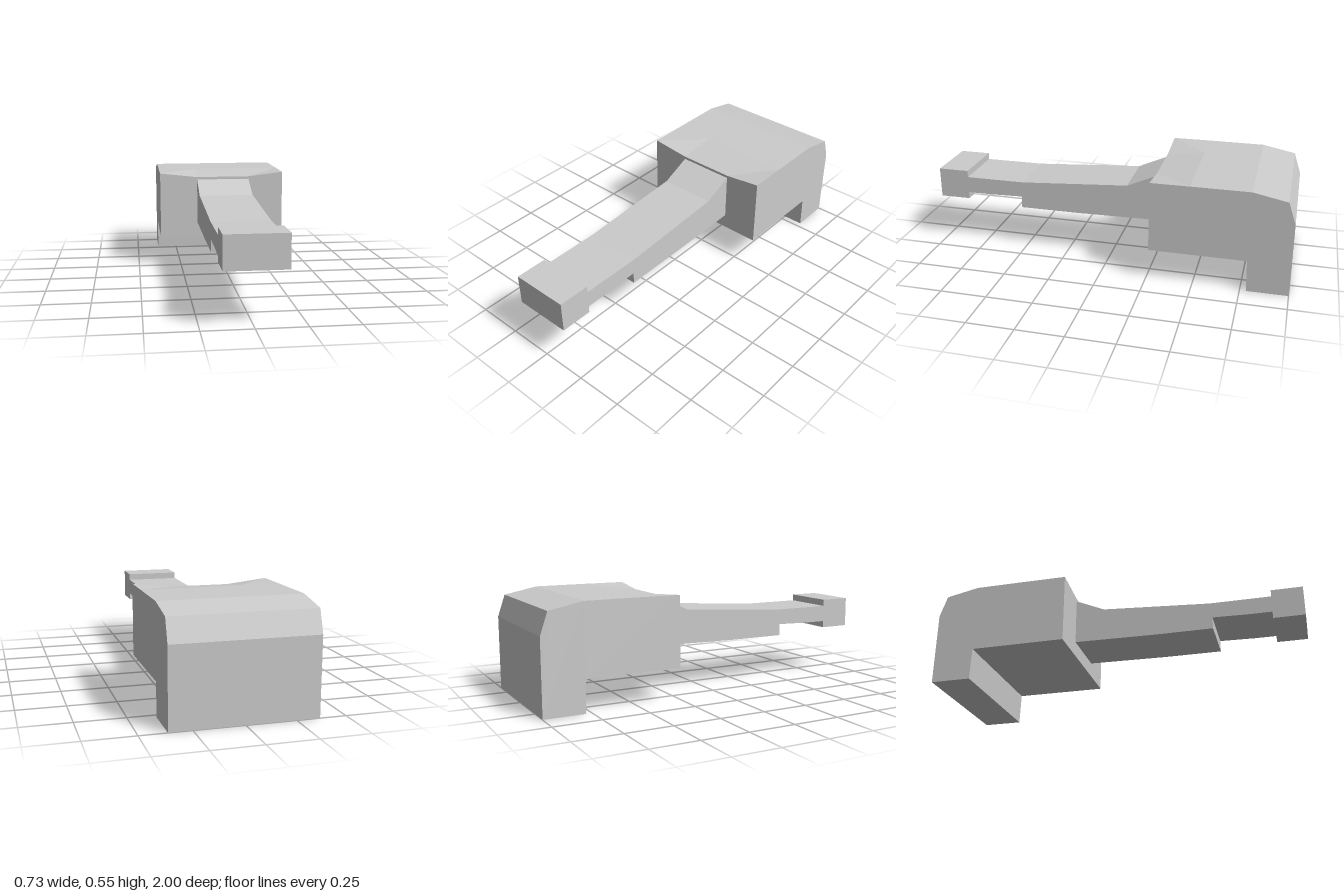
import * as THREE from 'three';

const material = new THREE.MeshStandardMaterial({ color: 0xcccccc, flatShading: true });

// Joins equal-length side profiles, given counter-clockwise as [z, y], at rising x stations.
function loft(name, stations) {
  const positions = [];
  const put = (x, [z, y]) => positions.push(x, y, z);

  // Walls between neighbouring stations
  for (let s = 0; s < stations.length - 1; s++) {
    const a = stations[s], b = stations[s + 1], n = a.profile.length;
    for (let i = 0; i < n; i++) {
      const j = (i + 1) % n;
      put(a.x, a.profile[i]); put(b.x, b.profile[j]); put(a.x, a.profile[j]);
      put(a.x, a.profile[i]); put(b.x, b.profile[i]); put(b.x, b.profile[j]);
    }
  }

  // Flat sides
  const cap = ({ x, profile }, flip) => {
    const contour = profile.map(([z, y]) => new THREE.Vector2(z, y));
    for (const face of THREE.ShapeUtils.triangulateShape(contour, [])) {
      if (flip) face.reverse();
      face.forEach((i) => put(x, profile[i]));
    }
  };
  cap(stations[0], false);
  cap(stations[stations.length - 1], true);

  const geometry = new THREE.BufferGeometry();
  geometry.setAttribute('position', new THREE.Float32BufferAttribute(positions, 3));
  geometry.computeVertexNormals();
  const mesh = new THREE.Mesh(geometry, material);
  mesh.name = name;
  return mesh;
}

// Rear block with a down-turned back and a front edge of variable height
const blockProfile = (frontTop) => [
  [-1, 0], [-0.783, 0], [-0.778, 0.173], [-0.263, 0.173], [-0.263, frontTop],
  [-0.47, 0.553], [-0.78, 0.553], [-0.96, 0.517], [-1, 0.4],
];

// Tapering arm with a stepped underside and a raised tip
const armProfile = [
  [-0.263, 0.255], [0.18, 0.248], [0.51, 0.248], [0.51, 0.313], [0.71, 0.308],
  [0.83, 0.308], [0.83, 0.27], [1, 0.27], [1, 0.437], [0.83, 0.437],
  [0.83, 0.4], [0.5, 0.4], [-0.1, 0.44], [-0.263, 0.513],
];

export function createModel() {
  const model = new THREE.Group();
  model.name = 'model';
  const armLeft = 0.16, armRight = -0.148;

  // The block's front edge dips above the arm
  model.add(loft('rearBlock', [
    { x: -0.367, profile: blockProfile(0.552) },
    { x: armRight, profile: blockProfile(0.528) },
    { x: armLeft, profile: blockProfile(0.528) },
    { x: 0.365, profile: blockProfile(0.552) },
  ]));

  model.add(loft('arm', [armRight, armLeft].map((x) => ({ x, profile: armProfile }))));

  return model;
}
